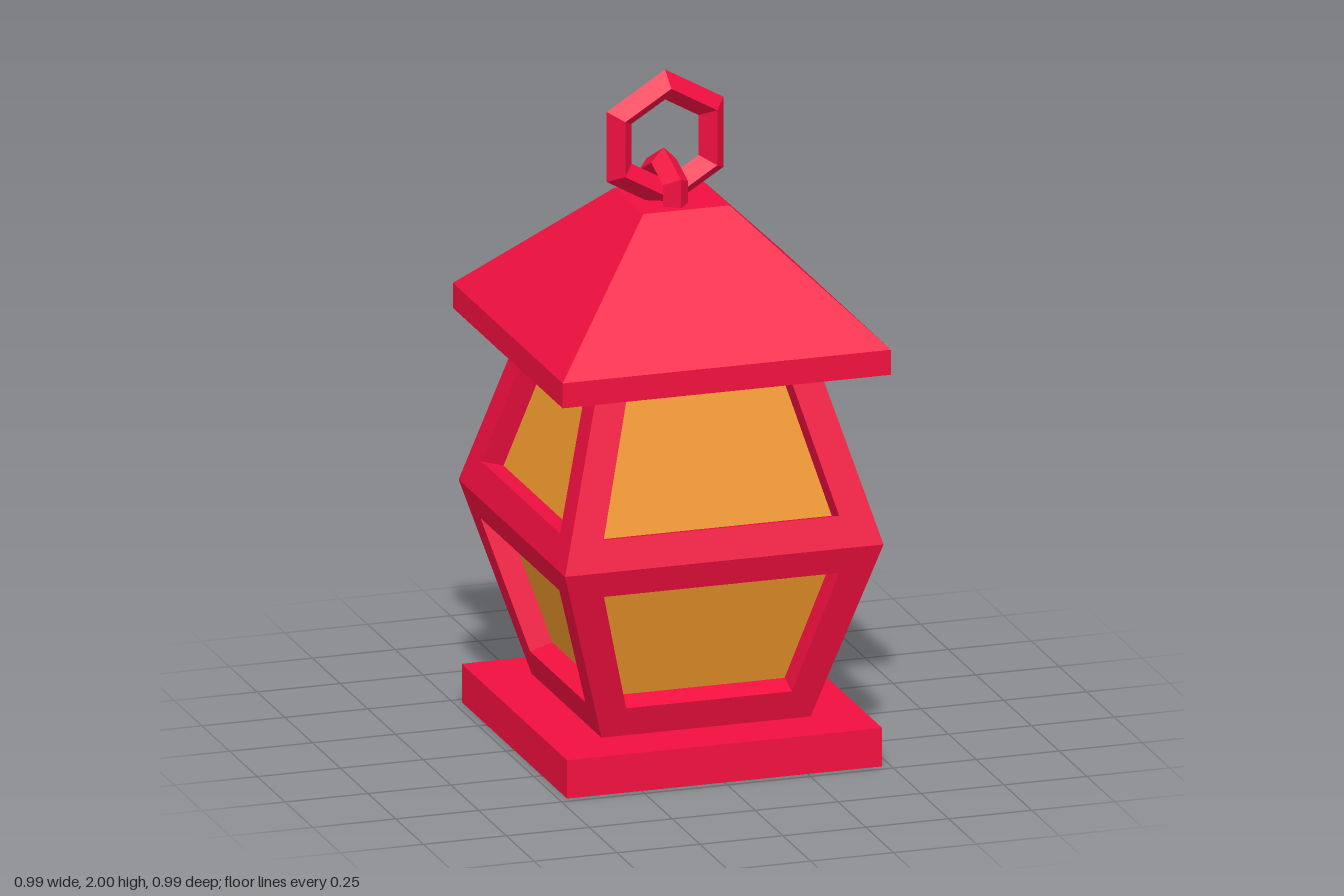
import * as THREE from 'three';

const red = new THREE.MeshStandardMaterial({ color: 0xf20f3f, flatShading: true });
const amber = new THREE.MeshStandardMaterial({ color: 0xf0982d, flatShading: true });

function add(parent, name, geometry, material, x = 0, y = 0, z = 0) {
  const mesh = new THREE.Mesh(geometry, material);
  mesh.name = name;
  mesh.position.set(x, y, z);
  parent.add(mesh);
  return mesh;
}

// Quads given as four corners each, counter-clockwise from outside
function quads(list) {
  const points = list.flatMap(([a, b, c, d]) => [a, b, c, a, c, d]);
  const geometry = new THREE.BufferGeometry().setFromPoints(points);
  geometry.computeVertexNormals();
  return geometry;
}

// One sloping wall: frame around a recessed pane; rows are [y, half width]
function wall([y0, w0], [y1, w1], [hy0, hw0], [hy1, hw1], depth) {
  const zAt = y => w0 + (w1 - w0) * (y - y0) / (y1 - y0);
  const ring = (ya, wa, yb, wb) => [[-wa, ya], [wa, ya], [wb, yb], [-wb, yb]]
    .map(([x, y]) => new THREE.Vector3(x, y, zAt(y)));
  const inward = new THREE.Vector3(0, w1 - w0, y0 - y1).normalize().multiplyScalar(depth);
  const outer = ring(y0, w0, y1, w1);
  const hole = ring(hy0, hw0, hy1, hw1);
  const back = hole.map(p => p.clone().add(inward));
  const frame = [];
  for (let i = 0; i < 4; i++) {
    const j = (i + 1) % 4;
    frame.push([outer[i], outer[j], hole[j], hole[i]], [hole[i], hole[j], back[j], back[i]]);
  }
  return { frame: quads(frame), pane: quads([back]) };
}

// Six-sided link with a diamond section, a corner pointing up
function link(radius, tube) {
  return new THREE.TorusGeometry(radius, tube, 4, 6).rotateZ(Math.PI / 6);
}

export function createModel() {
  const lantern = new THREE.Group();
  lantern.name = 'lantern';

  // Base slab
  add(lantern, 'base', new THREE.BoxGeometry(0.95, 0.115, 0.95), red, 0, 0.0575, 0);

  // Body: two tiers of four framed windows
  const body = new THREE.Group();
  body.name = 'body';
  body.position.z = -0.008;
  lantern.add(body);
  const tiers = {
    lower: wall([0.115, 0.315], [0.665, 0.48], [0.205, 0.25], [0.585, 0.355], 0.07),
    upper: wall([0.665, 0.48], [1.18, 0.33], [0.755, 0.355], [1.13, 0.25], 0.07),
  };
  for (const [tier, { frame, pane }] of Object.entries(tiers)) {
    for (let i = 0; i < 4; i++) {
      const side = new THREE.Group();
      side.name = tier + 'Window';
      side.rotation.y = i * Math.PI / 2;
      add(side, tier + 'Frame', frame, red);
      add(side, tier + 'Pane', pane, amber);
      body.add(side);
    }
  }

  // Roof: eaves slab and truncated pyramid
  add(lantern, 'eaves', new THREE.BoxGeometry(0.99, 0.075, 0.99), red, 0, 1.2175, 0);
  const pyramid = new THREE.CylinderGeometry(0.13 * Math.SQRT2, 0.495 * Math.SQRT2, 0.36, 4)
    .rotateY(Math.PI / 4);
  add(lantern, 'roof', pyramid, red, 0, 1.435, 0);

  // Hanging links, crossing each other
  add(lantern, 'anchorLink', link(0.09, 0.04), red, -0.025, 1.635, 0).rotation.y = -1.44;
  add(lantern, 'hangingRing', link(0.165, 0.045), red, -0.022, 1.79, 0.004).rotation.y = 0.08;

  return lantern;
}
